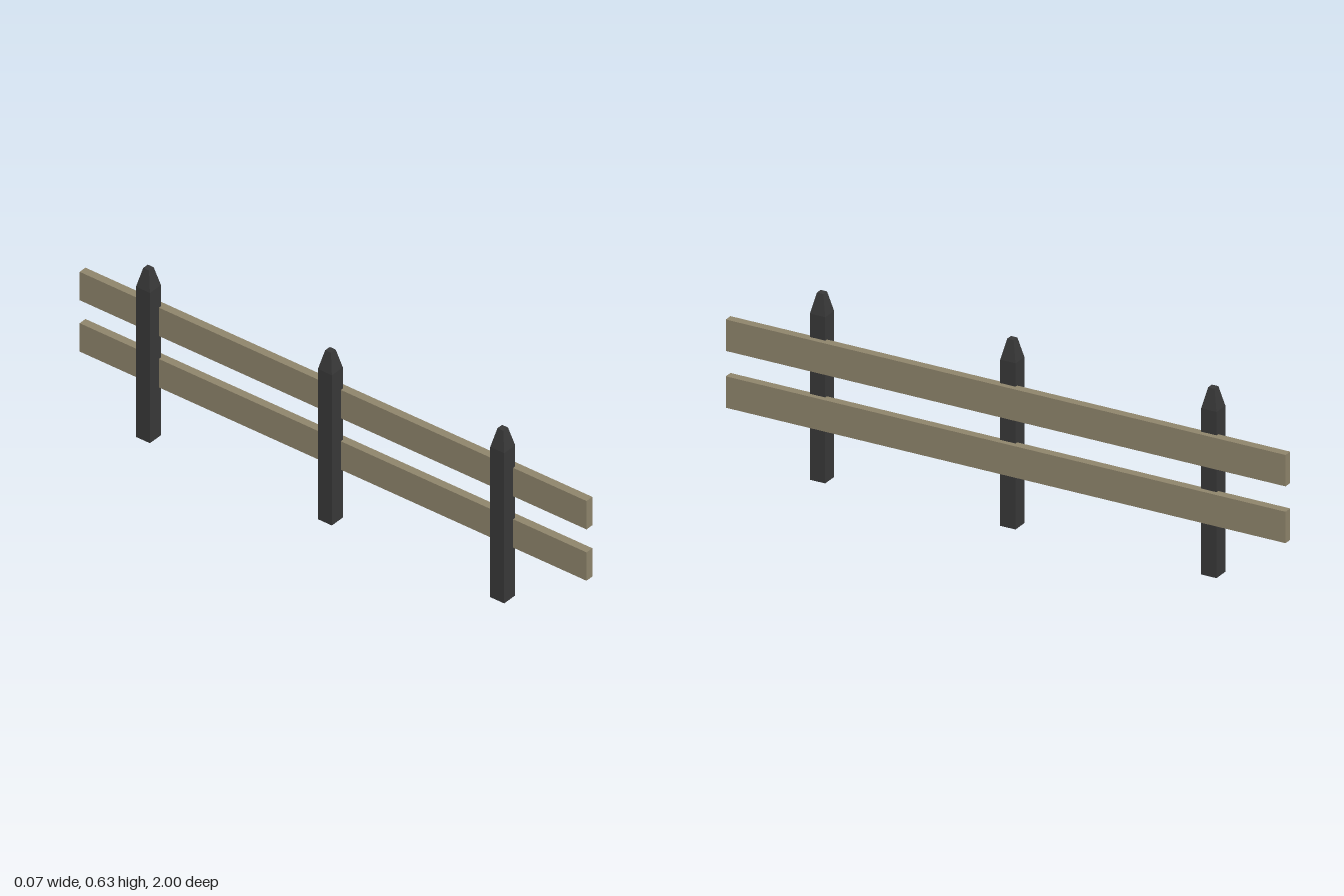
import * as THREE from 'three';

const POST_WIDTH = 0.055, POST_X = -0.0095;
const SHOULDER_Y = 0.566, POST_TOP = 0.635, TIP_SCALE = 0.42;

// Square post whose top tapers to a small flat tip
function postGeometry() {
  const geo = new THREE.BoxGeometry(POST_WIDTH, 2, POST_WIDTH, 1, 2, 1);
  const p = geo.attributes.position;
  for (let i = 0; i < p.count; i++) {
    const level = Math.round(p.getY(i)) + 1; // 0 foot, 1 shoulder, 2 tip
    const s = level === 2 ? TIP_SCALE : 1;
    p.setXYZ(i, p.getX(i) * s, [0, SHOULDER_Y, POST_TOP][level], p.getZ(i) * s);
  }
  const flat = geo.toNonIndexed();
  flat.computeVertexNormals();
  return flat;
}

export function createModel() {
  const group = new THREE.Group();
  group.name = 'fence';
  const postMaterial = new THREE.MeshStandardMaterial({ color: 0x383838, flatShading: true });
  const railMaterial = new THREE.MeshStandardMaterial({ color: 0x8f856c, flatShading: true });

  // Three posts along z
  const postGeo = postGeometry();
  [['frontPost', 0.683], ['middlePost', 0.003], ['backPost', -0.715]].forEach(([name, z]) => {
    const post = new THREE.Mesh(postGeo, postMaterial);
    post.name = name;
    post.position.set(POST_X, 0, z);
    group.add(post);
  });

  // Two long rails let into the left faces of the posts
  const railGeo = new THREE.BoxGeometry(0.029, 0.107, 2);
  [['lowerRail', 0.2395], ['upperRail', 0.433]].forEach(([name, y]) => {
    const rail = new THREE.Mesh(railGeo, railMaterial);
    rail.name = name;
    rail.position.set(0.0222, y, 0);
    group.add(rail);
  });

  return group;
}
